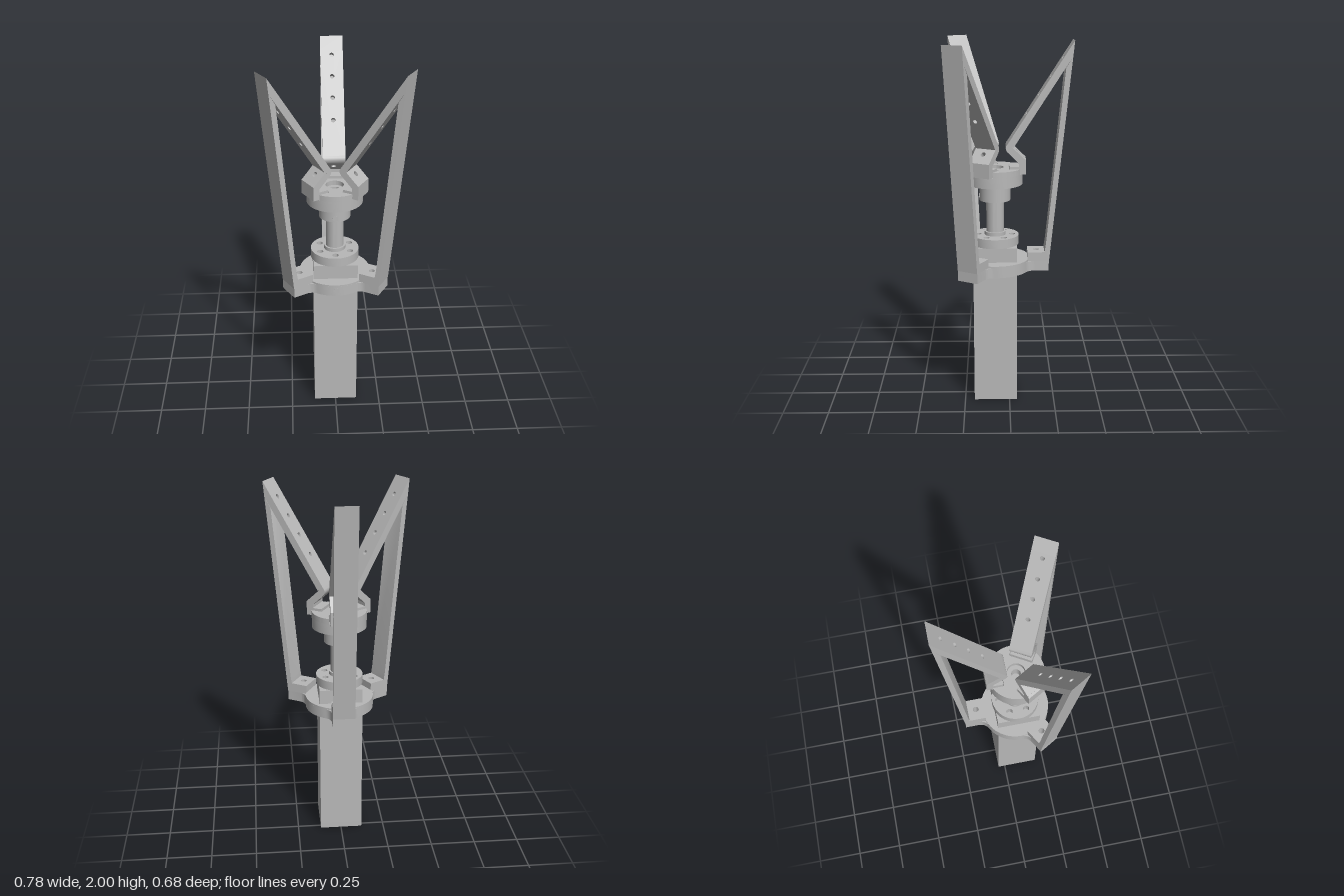
import * as THREE from 'three';
import { toCreasedNormals } from 'three/addons/utils/BufferGeometryUtils.js';

const metal = new THREE.MeshStandardMaterial({ color: 0xb8b8b8 });
metal.name = 'grey metal';

const AXIS_Z = 0.078;                       // the gripper axis is set forward of centre
const ARM_ANGLES = [90, 210, 330];          // back, left-hand and right-hand arms
const rad = THREE.MathUtils.degToRad;

function mesh(name, geometry) {
  const m = new THREE.Mesh(geometry, metal);
  m.name = name;
  return m;
}

function polygon(points) {
  return new THREE.Shape(points.map(([x, y]) => new THREE.Vector2(x, y)));
}

function addHole(shape, x, y, r) {
  shape.holes.push(new THREE.Path().absarc(x, y, r, 0, Math.PI * 2, true));
}

function extrude(shape, depth) {
  return toCreasedNormals(new THREE.ExtrudeGeometry(shape, { depth, bevelEnabled: false, curveSegments: 24 }), 0.5);
}

// Horizontal slab between two heights
function slab(name, shape, y0, y1) {
  return mesh(name, extrude(shape, y1 - y0).rotateX(-Math.PI / 2).translate(0, y0, 0));
}

function disc(name, r, y0, y1, sides = 64) {
  return mesh(name, new THREE.CylinderGeometry(r, r, y1 - y0, sides).translate(0, (y0 + y1) / 2, 0));
}

function circleShape(r) {
  return new THREE.Shape().absarc(0, 0, r, 0, Math.PI * 2);
}

function polar(angle, r) {
  return [Math.cos(rad(angle)) * r, Math.sin(rad(angle)) * r];
}

// Point given along and across an arm, turned to the arm's angle
function armPoint(angle, a, b) {
  const c = Math.cos(rad(angle)), s = Math.sin(rad(angle));
  return [a * c - b * s, a * s + b * c];
}

// Side profile (radius, height) extruded across the finger width
function profile(name, points, width = 0.12) {
  return mesh(name, extrude(polygon(points), width).translate(0, 0, -width / 2));
}

// Drilled plate running from a to b, thickness to the right of that direction
function plate(name, a, b, thickness, holes, holeR) {
  const d = new THREE.Vector3(b[0] - a[0], b[1] - a[1], 0);
  const length = d.length();
  d.normalize();
  const shape = polygon([[0, -0.06], [length, -0.06], [length, 0.06], [0, 0.06]]);
  holes.forEach((u) => addHole(shape, u, 0, holeR));
  const across = new THREE.Vector3(0, 0, 1);
  const matrix = new THREE.Matrix4().makeBasis(d, across, d.clone().cross(across));
  matrix.setPosition(a[0], a[1], 0);
  return mesh(name, extrude(shape, thickness).applyMatrix4(matrix));
}

function finger(angle) {
  const g = new THREE.Group();
  g.name = 'finger';
  g.add(
    profile('outerBar', [[0.27, 0.81], [0.295, 0.81], [0.417, 2], [0.376, 1.937], [0.407, 1.917],
      [0.373, 1.86], [0.277, 0.905], [0.27, 0.86]]),
    plate('gripPad', [0.068, 1.459], [0.376, 1.937], 0.037, [0.19, 0.31, 0.425, 0.54], 0.012),
    profile('bend', [[0.068, 1.459], [0.061, 1.45], [0.058, 1.438], [0.061, 1.425], [0.068, 1.415],
      [0.094, 1.442], [0.099, 1.439]]),
    plate('slopedLink', [0.13, 1.355], [0.068, 1.415], 0.037, [0.046], 0.014),
    profile('linkFoot', [[0.08, 1.295], [0.167, 1.295], [0.167, 1.372], [0.156, 1.382], [0.13, 1.355],
      [0.13, 1.337], [0.08, 1.337]]),
    plate('mountingFoot', [0.27, 0.81], [0.177, 0.81], 0.05, [0.045], 0.016),
  );
  g.rotation.y = rad(angle);
  return g;
}

// Round base with three filleted arms
function baseOutline() {
  const pts = [];
  const fillet = [];
  for (let i = 0; i <= 8; i++) {
    const [x, y] = polar(152 - (62 * i) / 8, 0.056);
    fillet.push([0.217 + x, -0.116 + y]);
  }
  for (const angle of ARM_ANGLES) {
    const half = [...fillet, [0.294, -0.06]];
    const mirrored = half.map(([a, b]) => [a, -b]).reverse();
    [...half, ...mirrored].forEach(([a, b]) => pts.push(armPoint(angle, a, b)));
    for (let i = 1; i < 16; i++) pts.push(polar(angle + 28.1 + (63.8 * i) / 16, 0.19));
  }
  return polygon(pts);
}

// Round plate with a slot for each finger foot
function slottedOutline() {
  const pts = [], r = 0.15, w = 0.065;
  const edge = Math.sqrt(r * r - w * w), start = THREE.MathUtils.radToDeg(Math.asin(w / r));
  for (const angle of ARM_ANGLES) {
    [[edge, -w], [0.075, -w], [0.075, w], [edge, w]].forEach(([a, b]) => pts.push(armPoint(angle, a, b)));
    for (let i = 1; i < 16; i++) pts.push(polar(angle + start + ((120 - 2 * start) * i) / 16, r));
  }
  return polygon(pts);
}

// Flush screw on a front surface
function setScrew(y, z) {
  return mesh('setScrew', new THREE.CylinderGeometry(0.015, 0.015, 0.02, 20).rotateX(Math.PI / 2).translate(0, y, z - 0.008));
}

export function createModel() {
  const model = new THREE.Group();
  model.name = 'threeFingerGripper';
  const g = new THREE.Group();
  g.name = 'gripper';
  g.position.z = AXIS_Z;
  model.add(g);

  // Square actuator body with a drilled end cap
  const h = 0.119;
  const square = () => polygon([[-h, -h], [h, -h], [h, h], [-h, h]]);
  const cap = square();
  for (const x of [-0.06, 0.06]) for (const y of [-0.06, 0.06]) addHole(cap, x, y, 0.018);
  addHole(cap, 0, 0, 0.03);
  g.add(slab('endCap', cap, 0.01, 0.04), slab('actuatorBody', square(), 0.04, 0.755), disc('endPin', 0.01, 0, 0.05, 20));

  // Base with arms
  const base = baseOutline();
  ARM_ANGLES.forEach((a) => addHole(base, ...polar(a, 0.225), 0.016));
  g.add(slab('basePlate', base, 0.755, 0.81), disc('baseRim', 0.19, 0.8, 0.82), setScrew(0.787, 0.19));

  // Guide block and drilled flange
  const flange = circleShape(0.13);
  for (let i = 0; i < 6; i++) addHole(flange, ...polar(30 + i * 60, 0.093), 0.017);
  g.add(slab('guideBlock', square(), 0.82, 0.9), slab('guideFlange', flange, 0.9, 0.95), disc('guideRing', 0.058, 0.95, 0.97));

  // Push rod with a bored end
  const rod = [[0.048, 0.95], [0.048, 1.3], [0.025, 1.3], [0.025, 1.24], [0, 1.24]];
  g.add(mesh('pushRod', toCreasedNormals(new THREE.LatheGeometry(rod.map(([x, y]) => new THREE.Vector2(x, y)), 40), 0.5)));

  // Collar and slotted finger carrier
  g.add(disc('collar', 0.084, 1.145, 1.23), disc('collarNeck', 0.07, 1.22, 1.24), setScrew(1.165, 0.084));
  const lower = circleShape(0.15);
  const upper = slottedOutline();
  addHole(lower, 0, 0, 0.048);
  addHole(upper, 0, 0, 0.048);
  ARM_ANGLES.forEach((a) => addHole(lower, ...polar(a, 0.12), 0.013));
  g.add(slab('carrierPlate', lower, 1.235, 1.295), slab('carrierSlots', upper, 1.295, 1.325));

  ARM_ANGLES.forEach((a) => g.add(finger(a)));
  return model;
}
